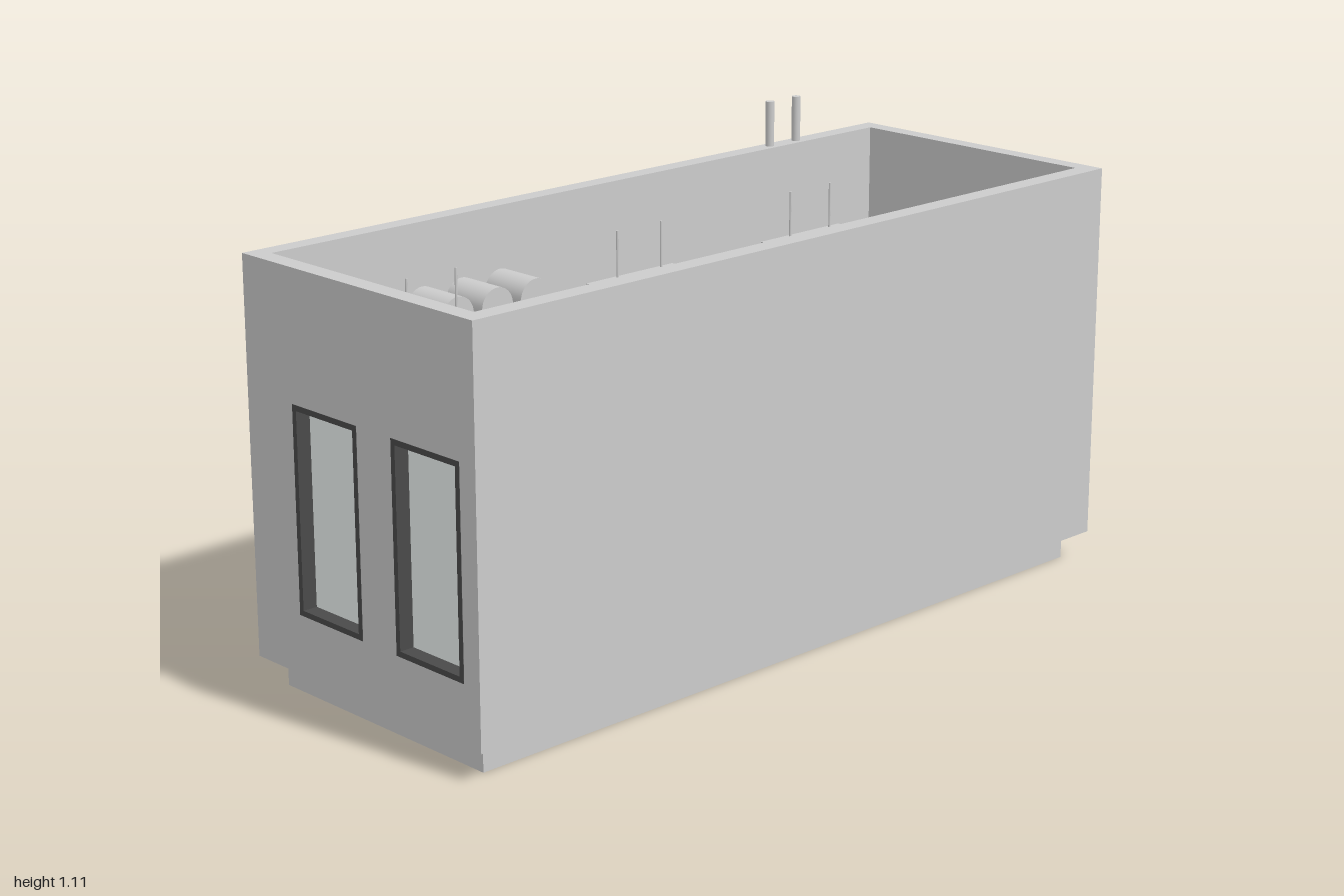
import * as THREE from 'three';

const grey = new THREE.MeshStandardMaterial({ color: 0xcccccc });
const dark = new THREE.MeshStandardMaterial({ color: 0x4a4a4a });
const brown = new THREE.MeshStandardMaterial({ color: 0x8a4426 });
const glass = new THREE.MeshStandardMaterial({ color: 0xedf3f1 });

// Extents of the shell: outer faces and inner faces
const X0 = -0.34, X1 = 0.425, IX0 = -0.295, IX1 = 0.377;
const BASE = 0.07, TOP = 1;
const BACK = -0.993, IBACK = -0.95, IFRONT = 0.955, FRONT = 1;

export function createModel() {
  const model = new THREE.Group();

  function add(parent, name, geometry, material) {
    const mesh = new THREE.Mesh(geometry, material);
    mesh.name = name;
    parent.add(mesh);
    return mesh;
  }

  // Box given by its limits on each axis
  function box(parent, name, x0, x1, y0, y1, z0, z1, material = grey) {
    const mesh = add(parent, name, new THREE.BoxGeometry(x1 - x0, y1 - y0, z1 - z0), material);
    mesh.position.set((x0 + x1) / 2, (y0 + y1) / 2, (z0 + z1) / 2);
    return mesh;
  }

  function polygon(points, Type = THREE.Shape) {
    return new Type(points.map(([x, y]) => new THREE.Vector2(x, y)));
  }
  const rect = (x0, x1, y0, y1) => [[x0, y0], [x1, y0], [x1, y1], [x0, y1]];

  // Upright slab between two z values, with optional rectangular holes
  function slab(parent, name, outline, holes, z0, z1, material = grey) {
    const shape = polygon(outline);
    for (const h of holes) shape.holes.push(polygon(rect(...h).reverse(), THREE.Path));
    const geometry = new THREE.ExtrudeGeometry(shape, { depth: z1 - z0, bevelEnabled: false });
    geometry.translate(0, 0, z0);
    return add(parent, name, geometry, material);
  }

  // Frame with a pane set inside it
  function framedWindow(name, [x0, x1, y0, y1], bar, z0, z1, paneZ) {
    const group = new THREE.Group();
    group.name = name;
    model.add(group);
    const inner = [x0 + bar, x1 - bar, y0 + bar, y1 - bar];
    slab(group, 'windowFrame', rect(x0, x1, y0, y1), [inner], z0, z1, dark);
    box(group, 'windowPane', ...inner, paneZ - 0.003, paneZ + 0.003, glass);
  }

  // Plinth, which also forms the floor
  box(model, 'plinth', IX0, IX1, 0, BASE, IBACK, IFRONT);

  // Side walls
  box(model, 'rightWall', X0, IX0, BASE, TOP, IBACK, IFRONT);
  box(model, 'leftWall', IX1, X1, BASE, TOP, IBACK, IFRONT);

  // Front wall with two tall windows
  const tall = [[-0.18, 0.04, 0.212, 0.695], [0.155, 0.375, 0.212, 0.695]];
  slab(model, 'frontWall', rect(X0, X1, BASE, TOP), tall, IFRONT, FRONT);
  for (const w of tall) framedWindow('frontWindow', w, 0.013, IFRONT - 0.002, FRONT + 0.001, 0.962);

  // Back wall with a window strip and a doorway open at the bottom
  const strip = [-0.295, 0.378, 0.59, 0.72];
  const dx0 = -0.294, dx1 = -0.118, doorTop = 0.557;
  slab(model, 'backWall', [
    [X0, BASE], [dx0, BASE], [dx0, doorTop], [dx1, doorTop], [dx1, BASE],
    [X1, BASE], [X1, TOP], [X0, TOP],
  ], [strip], BACK, IBACK);

  const paneWidth = (strip[1] - strip[0]) / 4;
  for (let i = 0; i < 4; i++) {
    const x = strip[0] + i * paneWidth;
    framedWindow('backWindow', [x, x + paneWidth, strip[2], strip[3]], 0.02, -0.998, -0.945, -0.955);
  }

  // Door leaf and the trim on both faces of the wall
  box(model, 'doorLeaf', dx0, dx1, BASE + 0.005, doorTop, -0.967, -0.955, dark);
  const t = 0.018;
  const trim = [
    [dx0 - t, BASE], [dx0, BASE], [dx0, doorTop], [dx1, doorTop], [dx1, BASE],
    [dx1 + t, BASE], [dx1 + t, doorTop + t], [dx0 - t, doorTop + t],
  ];
  slab(model, 'outerDoorTrim', trim, [], -1, BACK, brown);
  slab(model, 'innerDoorTrim', trim, [], IBACK, -0.945, brown);

  // Horizontal ducts through the right wall
  for (const z of [0.31, 0.426, 0.542, 0.658]) {
    const duct = add(model, 'duct', new THREE.CylinderGeometry(0.046, 0.046, 0.255, 32), grey);
    duct.rotation.z = Math.PI / 2;
    duct.position.set(-0.2975, 0.804, z);
  }

  // Upright pipes running through the right wall
  for (const z of [-0.697, -0.603]) {
    const pipe = add(model, 'pipe', new THREE.CylinderGeometry(0.011, 0.011, 1.113, 20), grey);
    pipe.position.set(-0.318, 0.5565, z);
  }

  // Hanging lamps on thin rods
  for (const x of [-0.135, 0.215]) {
    for (const z of [-0.56, 0.018, 0.645]) {
      const lamp = new THREE.Group();
      lamp.name = 'hangingLamp';
      lamp.position.set(x, 0, z);
      model.add(lamp);
      box(lamp, 'lampBody', -0.034, 0.034, 0.77, 0.81, -0.138, 0.138);
      for (const s of [-1, 1]) {
        const rod = add(lamp, 'lampRod', new THREE.CylinderGeometry(0.003, 0.003, 0.12, 10), grey);
        rod.position.set(0, 0.87, s * 0.07);
      }
    }
  }

  // Wall unit above the front windows, inside
  box(model, 'wallUnit', -0.18, 0.225, 0.76, 0.9, 0.87, IFRONT);

  return model;
}
